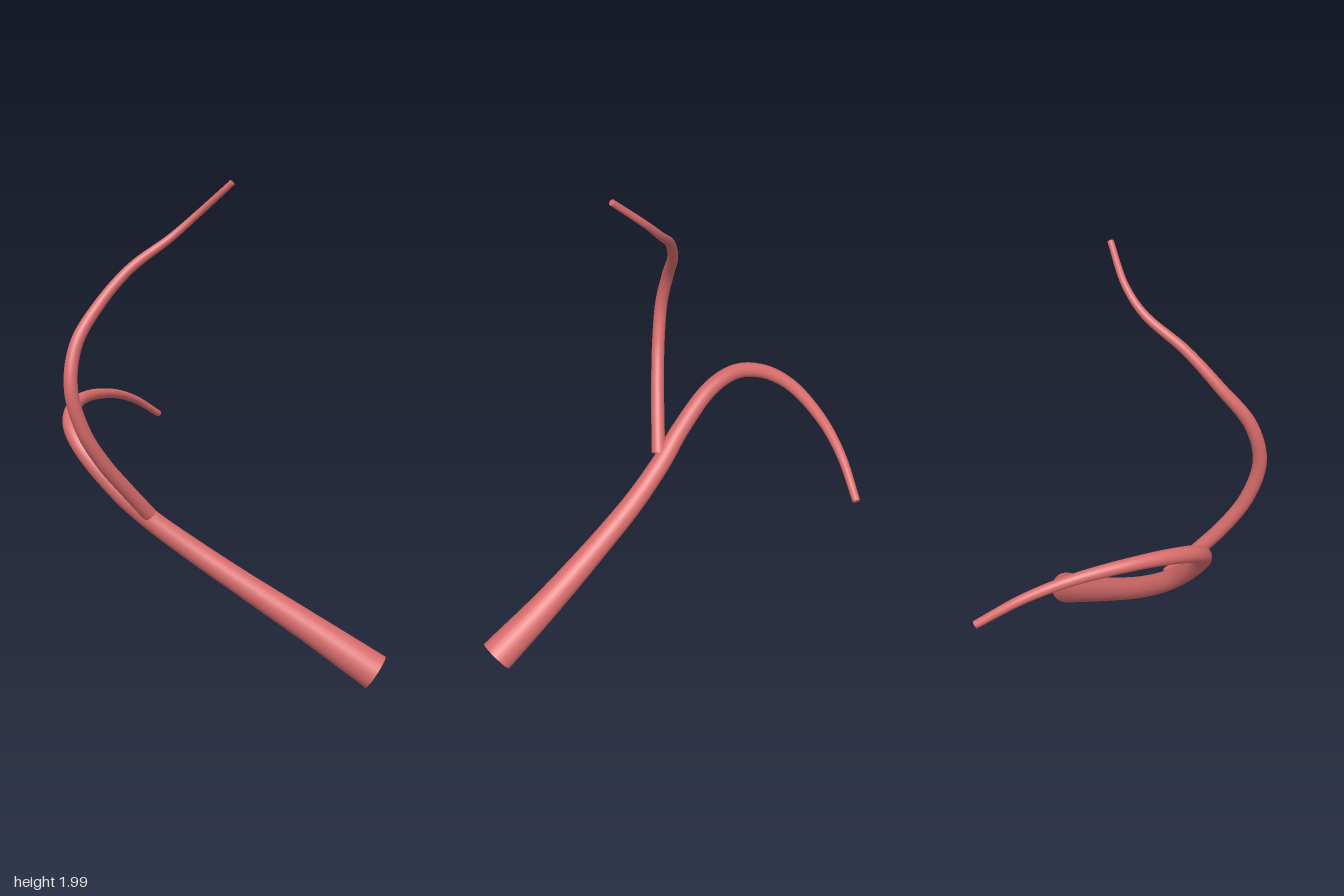
import * as THREE from 'three';
import { mergeGeometries } from 'three/addons/utils/BufferGeometryUtils.js';

const SIDES = 24;

// Interpolate evenly spaced radii at u in 0..1
function radiusAt(radii, u) {
  const t = u * (radii.length - 1);
  const i = Math.min(Math.floor(t), radii.length - 2);
  return THREE.MathUtils.lerp(radii[i], radii[i + 1], t - i);
}

// Smooth tapered limb along a path, closed with flat discs
function taperedLimb(points, radii, segments) {
  const curve = new THREE.CatmullRomCurve3(points.map(p => new THREE.Vector3(...p)), false, 'centripetal');
  const tube = new THREE.TubeGeometry(curve, segments, 1, SIDES, false);
  const pos = tube.attributes.position, nor = tube.attributes.normal;
  const n = new THREE.Vector3();
  for (let i = 0; i < pos.count; i++) {
    const u = Math.floor(i / (SIDES + 1)) / segments;
    n.fromBufferAttribute(nor, i).multiplyScalar(radiusAt(radii, u)).add(curve.getPointAt(u));
    pos.setXYZ(i, n.x, n.y, n.z);
  }
  const caps = [0, 1].map(u => {
    const dir = curve.getTangentAt(u).multiplyScalar(u ? 1 : -1);
    const turn = new THREE.Quaternion().setFromUnitVectors(new THREE.Vector3(0, 0, 1), dir);
    const end = curve.getPointAt(u);
    return new THREE.CircleGeometry(radiusAt(radii, u), SIDES)
      .applyQuaternion(turn).translate(end.x, end.y, end.z);
  });
  return mergeGeometries([tube, ...caps]);
}

export function createModel() {
  const group = new THREE.Group();
  const bark = new THREE.MeshStandardMaterial({ color: 0xd96c6c });
  const add = (name, geometry) => {
    const mesh = new THREE.Mesh(geometry, bark);
    mesh.name = name;
    group.add(mesh);
  };

  // Main stem: thick base rising to the left, hooking over to the back
  add('mainStem', taperedLimb([
    [0.692, 0.07, -0.222], [0.45, 0.222, -0.125], [0.2, 0.385, -0.01], [0, 0.525, 0.09],
    [-0.15, 0.65, 0.18], [-0.25, 0.755, 0.245], [-0.4, 0.915, 0.295], [-0.5, 1.0, 0.268],
    [-0.58, 1.047, 0.18], [-0.65, 1.065, 0.03], [-0.7, 1.035, -0.2], [-0.718, 0.975, -0.37],
    [-0.72, 0.875, -0.54],
  ], [0.075, 0.061, 0.051, 0.045, 0.039, 0.034, 0.026, 0.02, 0.015], 120));

  // Side branch: leaves the stem forward, then sweeps up and back
  add('sideBranch', taperedLimb([
    [-0.138, 0.68, 0.2], [-0.165, 0.81, 0.31], [-0.19, 0.93, 0.405], [-0.215, 1.07, 0.485],
    [-0.237, 1.24, 0.522], [-0.25, 1.4, 0.475], [-0.235, 1.54, 0.36], [-0.185, 1.67, 0.235],
    [-0.105, 1.78, 0.09], [-0.03, 1.865, 0.025], [0.108, 1.99, -0.022],
  ], [0.03, 0.029, 0.028, 0.027, 0.025, 0.021, 0.018, 0.014, 0.012], 100));

  return group;
}
